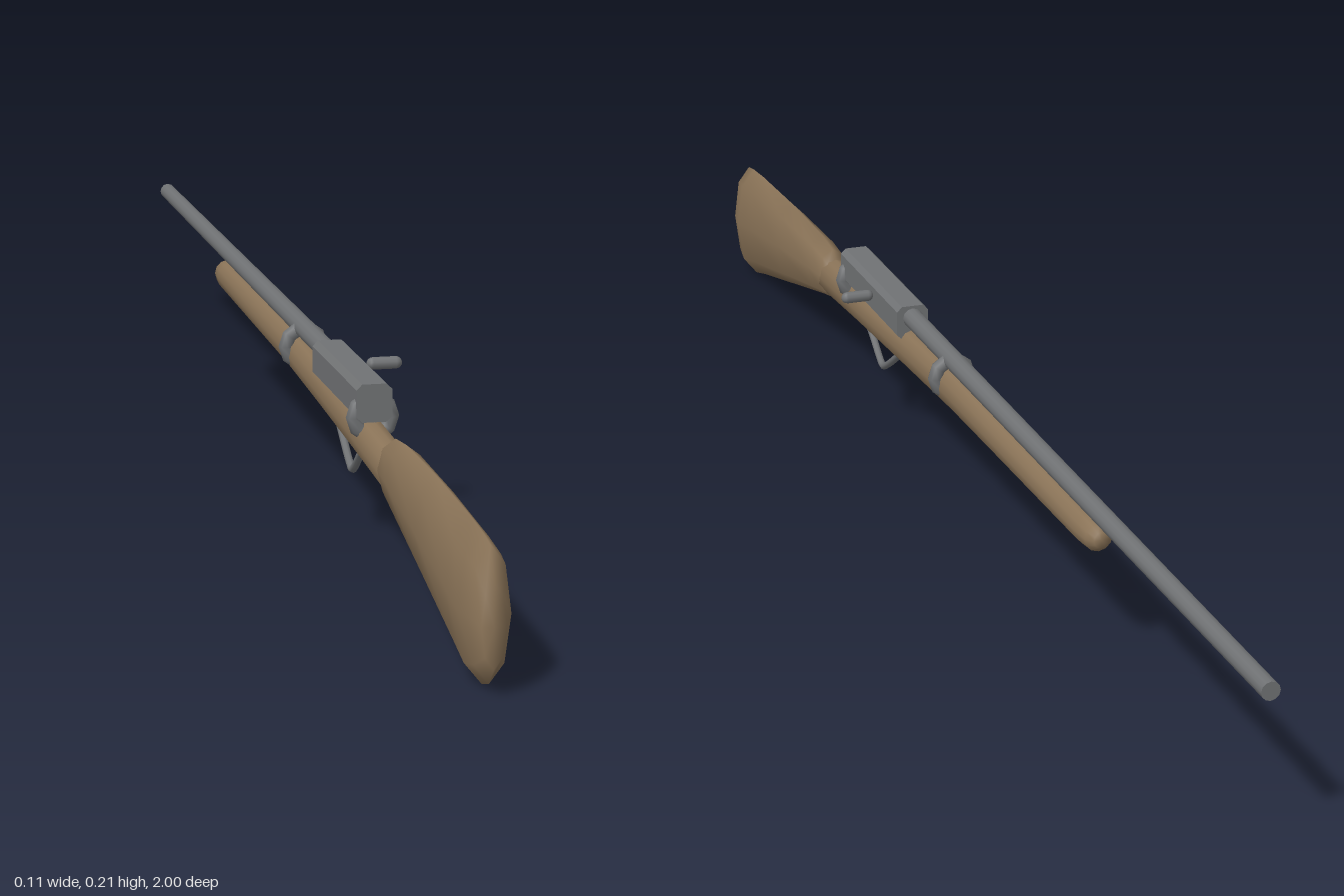
import * as THREE from 'three';

const X = -0.02; // centre line of the long parts
const metal = new THREE.MeshStandardMaterial({ color: 0x707274 });
const flatMetal = new THREE.MeshStandardMaterial({ color: 0x707274, flatShading: true });
const wood = new THREE.MeshStandardMaterial({ color: 0x8b7458 });

function add(group, name, geometry, material, x = 0, y = 0, z = 0) {
  const mesh = new THREE.Mesh(geometry, material);
  mesh.name = name;
  mesh.position.set(x, y, z);
  group.add(mesh);
  return mesh;
}

// Skin over elliptical sections [z, bottom, top, halfWidth], ordered by rising z
function loft(sections, sides) {
  const pos = [], idx = [];
  const mid = s => (s[1] + s[2]) / 2;
  const first = sections[0], last = sections[sections.length - 1];
  sections.forEach(([z, lo, hi, w]) => {
    for (let j = 0; j < sides; j++) {
      const a = (j / sides) * Math.PI * 2;
      pos.push(Math.cos(a) * w, (lo + hi) / 2 + Math.sin(a) * (hi - lo) / 2, z);
    }
  });
  const n = sections.length;
  pos.push(0, mid(first), first[0], 0, mid(last), last[0]);
  for (let j = 0; j < sides; j++) {
    const k = (j + 1) % sides;
    for (let i = 0; i < n - 1; i++) {
      const a = i * sides + j, b = i * sides + k;
      idx.push(a, b, b + sides, a, b + sides, a + sides);
    }
    const e = (n - 1) * sides;
    idx.push(n * sides, k, j, n * sides + 1, e + j, e + k);
  }
  const g = new THREE.BufferGeometry();
  g.setAttribute('position', new THREE.Float32BufferAttribute(pos, 3));
  g.setIndex(idx);
  g.computeVertexNormals();
  return g;
}

export function createModel() {
  const model = new THREE.Group();
  model.name = 'rifle';

  // Wooden fore-end and grip
  add(model, 'foreStock', loft([
    [-0.51, 0.157, 0.178, 0.01], [-0.5, 0.149, 0.186, 0.018], [-0.47, 0.146, 0.188, 0.02],
    [0, 0.137, 0.19, 0.021], [0.2, 0.128, 0.182, 0.021], [0.4, 0.118, 0.172, 0.021],
    [0.56, 0.108, 0.165, 0.021],
  ], 12), wood, X);

  // Butt, deep at the back with an eight-sided section
  add(model, 'buttStock', loft([
    [0.535, 0.112, 0.168, 0.018], [0.55, 0.103, 0.177, 0.022], [0.6, 0.092, 0.182, 0.024],
    [0.75, 0.055, 0.182, 0.026], [0.9, 0.018, 0.176, 0.028], [0.95, 0.004, 0.172, 0.028],
    [0.98, 0.013, 0.167, 0.024], [1, 0.035, 0.13, 0.014],
  ], 8), wood, X);

  // Barrel
  const barrel = add(model, 'barrel', new THREE.CylinderGeometry(0.0135, 0.0115, 1.22, 12), metal, X, 0.2, -0.39);
  barrel.rotation.x = Math.PI / 2;

  // Receiver block with chamfered long edges
  const w = 0.022, h = 0.0235, c = 0.007;
  const section = new THREE.Shape([
    [-w + c, -h], [w - c, -h], [w, -h + c], [w, h - c],
    [w - c, h], [-w + c, h], [-w, h - c], [-w, -h + c],
  ].map(([x, y]) => new THREE.Vector2(x, y)));
  add(model, 'receiver', new THREE.ExtrudeGeometry(section, { depth: 0.25, bevelEnabled: false }),
    flatMetal, X, 0.1935, 0.19);

  // Bands around the stock
  for (const [name, z] of [['frontBand', 0.03], ['rearBand', 0.43]]) {
    add(model, name, new THREE.TorusGeometry(0.023, 0.01, 8, 10), metal, X, 0.175, z);
  }

  // Bolt handle
  const handle = add(model, 'boltHandle', new THREE.CapsuleGeometry(0.008, 0.029, 4, 10), metal, 0.0295, 0.205, 0.28);
  handle.rotation.z = Math.PI / 2;

  // Trigger guard: a thin bent rod under the grip
  const bend = new THREE.CatmullRomCurve3([
    [0.125, 0.395], [0.114, 0.37], [0.088, 0.333], [0.082, 0.32], [0.088, 0.305], [0.116, 0.26], [0.13, 0.24],
  ].map(([y, z]) => new THREE.Vector3(0, y, z)));
  add(model, 'triggerGuard', new THREE.TubeGeometry(bend, 20, 0.005, 8), metal, X);

  return model;
}
